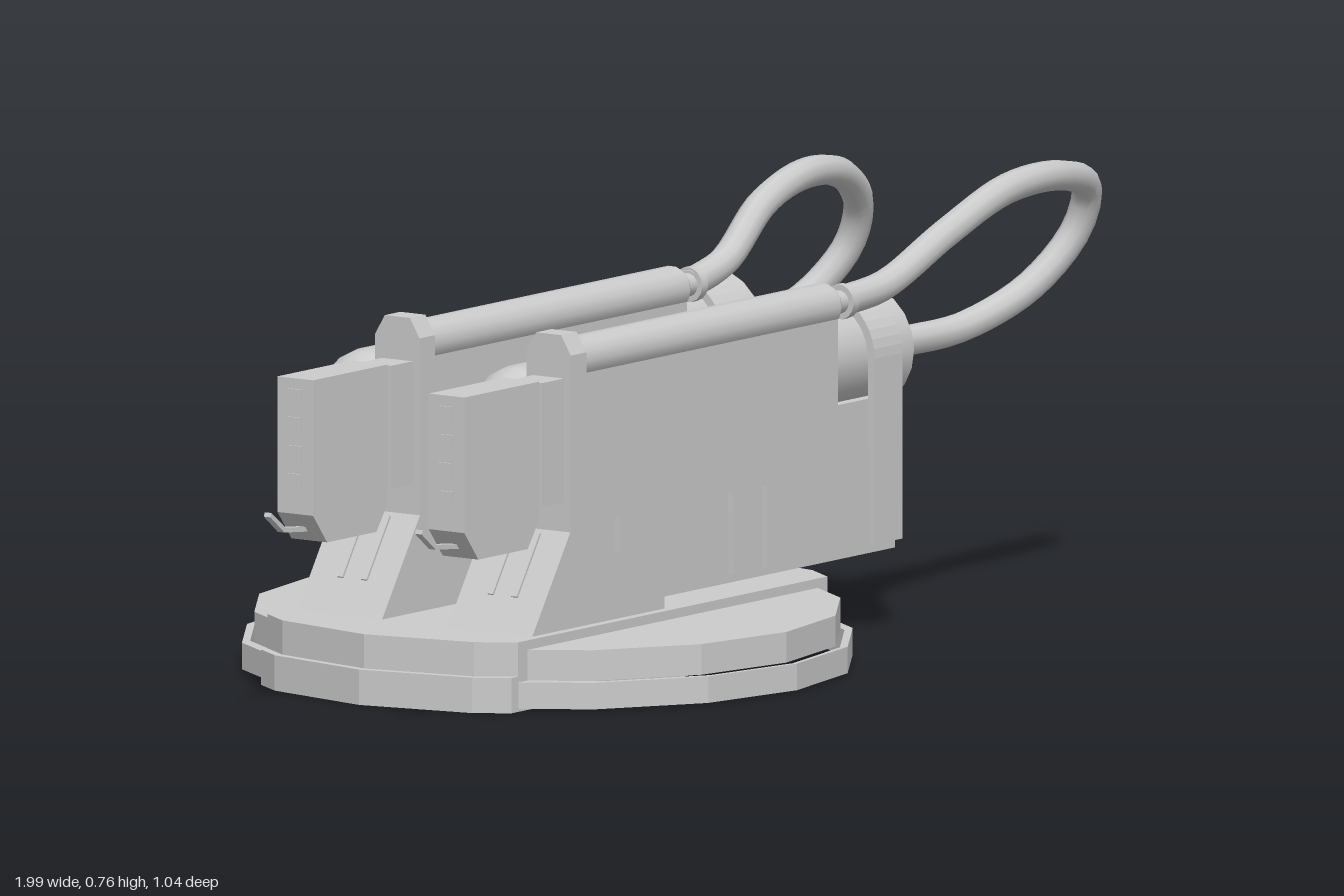
import * as THREE from 'three';

const mat = new THREE.MeshStandardMaterial({ color: 0xcccccc, side: THREE.DoubleSide });
const flat = new THREE.MeshStandardMaterial({ color: 0xcccccc, side: THREE.DoubleSide, flatShading: true });

function add(parent, name, geo, x = 0, y = 0, z = 0, m = mat) {
  const mesh = new THREE.Mesh(geo, m);
  mesh.name = name;
  mesh.position.set(x, y, z);
  parent.add(mesh);
  return mesh;
}

// Box given by its limits on each axis
function block(parent, name, x0, x1, y0, y1, z0, z1) {
  return add(parent, name, new THREE.BoxGeometry(x1 - x0, y1 - y0, z1 - z0),
    (x0 + x1) / 2, (y0 + y1) / 2, (z0 + z1) / 2, flat);
}

const toShape = pts => new THREE.Shape(pts.map(p => new THREE.Vector2(...p)));

// Side profile in x, y extruded symmetrically about z
function slab(parent, name, pts, width, z = 0) {
  const geo = new THREE.ExtrudeGeometry(toShape(pts), { depth: width, bevelEnabled: false });
  return add(parent, name, geo, 0, 0, z - width / 2, flat);
}

// Surface of revolution about the x axis, profile as [x, radius]
function turned(parent, name, profile, y, z, sides = 20) {
  const geo = new THREE.LatheGeometry(profile.map(([x, r]) => new THREE.Vector2(r, x)), sides);
  geo.rotateZ(-Math.PI / 2);
  return add(parent, name, geo, 0, y, z);
}

// Profile with sharp corners: doubled points keep the normals apart
function turnedSharp(parent, name, profile, y, z, sides = 20) {
  const g = new THREE.Group();
  g.name = name;
  for (let i = 0; i < profile.length - 1; i++) turned(g, name + 'Face', [profile[i], profile[i + 1]], y, z, sides);
  parent.add(g);
}

// Outline of a 16-sided disc cut between two z limits
function discSlice(r, z0, z1) {
  const step = Math.PI / 8;
  const halfWidth = z => {
    const k = Math.min(3, Math.floor(Math.asin(Math.min(1, Math.abs(z) / r)) / step + 1e-6));
    const a = k * step, b = a + step;
    const t = (Math.abs(z) / r - Math.sin(a)) / (Math.sin(b) - Math.sin(a));
    return r * (Math.cos(a) + (Math.cos(b) - Math.cos(a)) * t);
  };
  const levels = [z0];
  for (let k = -4; k <= 4; k++) {
    const z = r * Math.sin(k * step);
    if (z > z0 + 1e-4 && z < z1 - 1e-4) levels.push(z);
  }
  levels.push(z1);
  const side = levels.map(z => [halfWidth(z), z]);
  return [...side, ...side.filter(p => p[0] > 1e-4).reverse().map(([x, z]) => [-x, z])];
}

// Horizontal plate, or a rim when an inset is given
function layer(parent, name, pts, y0, y1, inset) {
  const shape = toShape(pts);
  if (inset) {
    const cz = pts.reduce((s, p) => s + p[1], 0) / pts.length;
    shape.holes.push(new THREE.Path(pts.map(([x, z]) =>
      new THREE.Vector2(x * inset, cz + (z - cz) * inset)).reverse()));
  }
  const geo = new THREE.ExtrudeGeometry(shape, { depth: y1 - y0, bevelEnabled: false });
  geo.rotateX(Math.PI / 2);
  return add(parent, name, geo, 0, y1, 0, flat);
}

// Hollow turntable: raised middle band and two lower side segments
function makeBase() {
  const base = new THREE.Group();
  base.name = 'base';
  const w = 0.26;
  layer(base, 'middleLowerRim', discSlice(0.535, -w, w), 0, 0.06, 0.95);
  layer(base, 'middleUpperRim', discSlice(0.52, -w, w), 0.06, 0.115, 0.95);
  layer(base, 'middleTop', discSlice(0.52, -w, w), 0.108, 0.118);
  for (const s of [-1, 1]) {
    const slice = r => s > 0 ? discSlice(r, w, r) : discSlice(r, -r, -w);
    layer(base, 'sideLowerRim', slice(0.518), 0.005, 0.05, 0.93);
    layer(base, 'sideUpperRim', slice(0.497), 0.05, 0.1, 0.93);
    layer(base, 'sideTop', slice(0.497), 0.093, 0.102);
  }
  block(base, 'underBeam', -0.38, 0.25, 0.06, 0.11, -0.015, 0.015);
  base.position.x = -0.215;
  return base;
}

// Arched strap over the tank with two legs
function strap(parent, x0, x1, bottom, y, z) {
  const s = new THREE.Shape();
  const R = 0.104, r = 0.09;
  s.moveTo(R, bottom - y);
  s.lineTo(R, 0);
  s.absarc(0, 0, R, 0, Math.PI, false);
  s.lineTo(-R, bottom - y);
  s.lineTo(-r - 0.004, bottom - y);
  s.lineTo(-r, 0);
  s.absarc(0, 0, r, Math.PI, 0, true);
  s.lineTo(r + 0.004, bottom - y);
  const geo = new THREE.ExtrudeGeometry(s, { depth: x1 - x0, bevelEnabled: false, curveSegments: 10 });
  geo.rotateY(Math.PI / 2);
  add(parent, 'strap', geo, x0, y, z);
}

// Tank, its stand and straps, beside a flat connector arm
function makeUnit(tankZ, armZ, hosePoints) {
  const unit = new THREE.Group();
  unit.name = 'unit';
  const tankY = 0.47, railY = 0.592;

  // Stand
  slab(unit, 'wedgeFoot', [[-0.59, 0.118], [-0.215, 0.118], [-0.215, 0.33], [-0.45, 0.33]], 0.176, tankZ);
  block(unit, 'standBlock', -0.3, 0.467, 0.133, 0.395, tankZ - 0.068, tankZ + 0.068);
  const slope = Math.atan2(0.212, 0.14);
  for (const dz of [-0.025, 0.025]) {
    const bar = block(unit, 'slotFrame', -0.58, -0.46, 0.22, 0.228, tankZ + dz - 0.006, tankZ + dz + 0.006);
    bar.rotation.z = slope;
  }

  // Tank with a domed end and a dished, rimmed end
  const dome = [];
  for (let i = 0; i <= 6; i++) {
    const a = i / 6 * Math.PI / 2;
    dome.push([-0.5 - 0.08 * Math.cos(a), Math.max(0.0001, 0.09 * Math.sin(a))]);
  }
  turned(unit, 'tank', [...dome, [0.37, 0.09]], tankY, tankZ);
  turnedSharp(unit, 'tankCollar', [[0.43, 0.09], [0.44, 0.102], [0.475, 0.102], [0.485, 0.094],
    [0.485, 0.082], [0.465, 0.074], [0.465, 0.045], [0.49, 0.045], [0.49, 0.034], [0.51, 0.034],
    [0.51, 0.001]], tankY, tankZ);
  turned(unit, 'tankEnd', [[0.36, 0.09], [0.44, 0.09]], tankY, tankZ);
  strap(unit, -0.365, -0.29, 0.235, tankY, tankZ);
  strap(unit, -0.04, 0.04, 0.155, tankY, tankZ);
  strap(unit, 0.055, 0.135, 0.155, tankY, tankZ);
  strap(unit, 0.36, 0.44, 0.155, tankY, tankZ);

  // Arm panel, top rail and its end collar
  block(unit, 'armPanel', -0.59, 0.15, 0.315, 0.58, armZ - 0.031, armZ + 0.031);
  turnedSharp(unit, 'topRail', [[-0.6, 0.038], [0.15, 0.038], [0.162, 0.03], [0.162, 0.02], [0.195, 0.02],
    [0.195, 0.03], [0.212, 0.03], [0.212, 0.001]], railY, armZ, 14);
  const collar = toShape([[-0.046, 0.31], [0.046, 0.31], [0.046, 0.61], [0.026, 0.643], [-0.026, 0.643], [-0.046, 0.61]]);
  const collarGeo = new THREE.ExtrudeGeometry(collar, { depth: 0.044, bevelEnabled: false });
  collarGeo.rotateY(Math.PI / 2);
  add(unit, 'armCollar', collarGeo, -0.63, 0, armZ, flat);

  // Plug with socket cells and a bent latch
  block(unit, 'plugNeck', -0.692, -0.625, 0.36, 0.57, armZ - 0.032, armZ + 0.032);
  block(unit, 'plugGap', -0.712, -0.69, 0.37, 0.56, armZ - 0.025, armZ + 0.025);
  slab(unit, 'plug', [[-0.92, 0.345], [-0.88, 0.295], [-0.74, 0.295], [-0.708, 0.34], [-0.708, 0.575], [-0.92, 0.575]], 0.074, armZ);
  for (let i = 0; i < 4; i++) {
    const y = 0.385 + i * 0.048;
    block(unit, 'socketCell', -0.923, -0.915, y, y + 0.028, armZ - 0.014, armZ + 0.014);
  }
  slab(unit, 'latch', [[-1, 0.35], [-0.96, 0.319], [-0.89, 0.312], [-0.89, 0.32], [-0.957, 0.327], [-0.997, 0.357]], 0.014, armZ);

  // Hose from rail to tank
  const path = new THREE.CatmullRomCurve3([[0.2, railY, armZ], ...hosePoints, [0.49, tankY - 0.005, tankZ]]
    .map(p => new THREE.Vector3(...p)));
  add(unit, 'hose', new THREE.TubeGeometry(path, 48, 0.026, 10));
  return unit;
}

export function createModel() {
  const model = new THREE.Group();
  model.name = 'twinTankMount';
  model.add(makeBase());
  model.add(makeUnit(0.155, 0.306, [[0.32, 0.605, 0.308], [0.5, 0.67, 0.305], [0.68, 0.722, 0.3],
    [0.85, 0.722, 0.29], [0.955, 0.685, 0.265], [0.965, 0.61, 0.235], [0.89, 0.525, 0.2], [0.74, 0.47, 0.17], [0.6, 0.462, 0.157]]));
  model.add(makeUnit(-0.157, -0.008, [[0.3, 0.62, -0.008], [0.42, 0.7, -0.018], [0.55, 0.734, -0.025],
    [0.68, 0.715, -0.042], [0.765, 0.65, -0.07], [0.775, 0.575, -0.1], [0.71, 0.498, -0.137], [0.6, 0.466, -0.153]]));
  return model;
}
